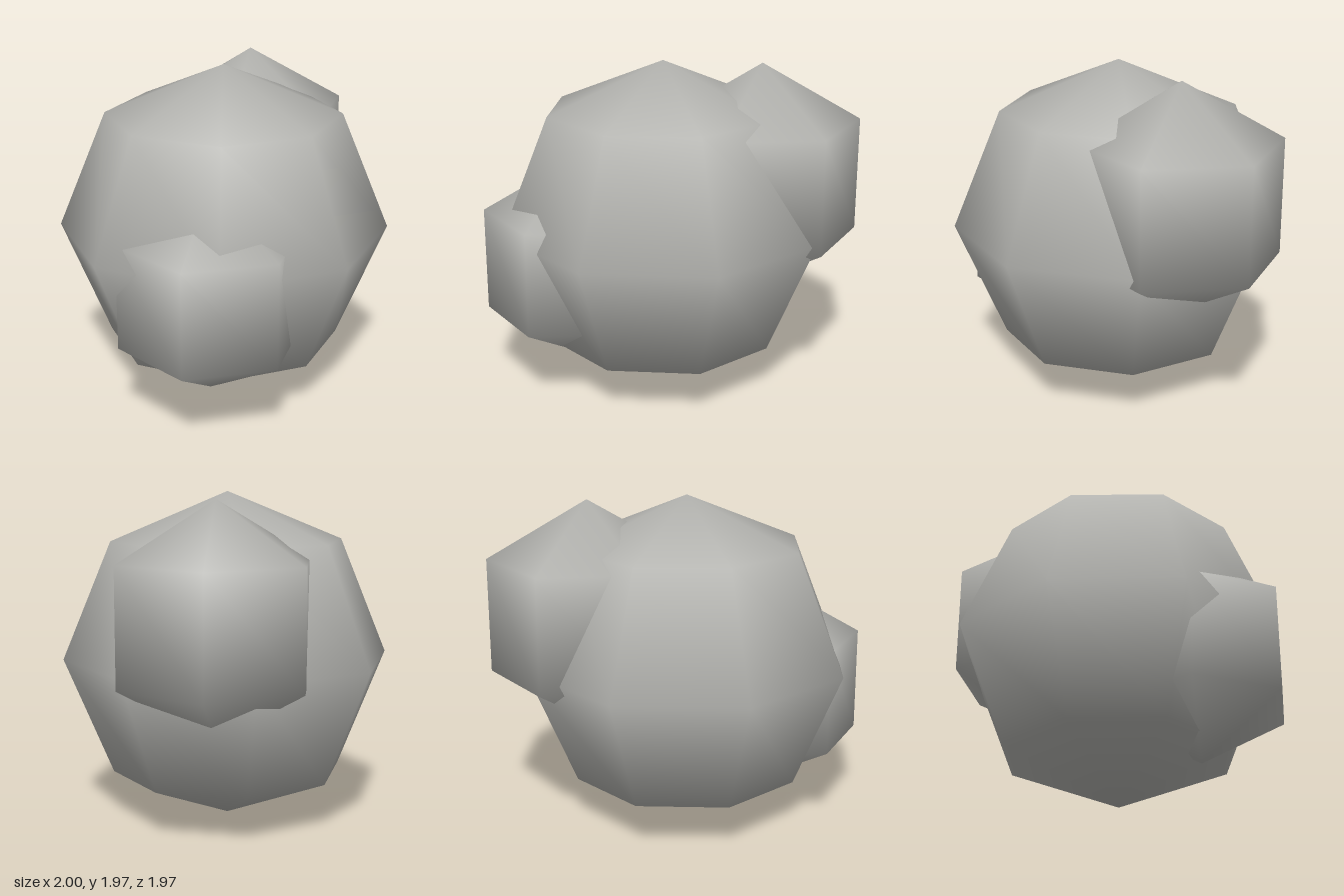
import * as THREE from 'three';

// A cluster of three smooth-shaded, low-poly boulders.
export function createModel() {
  const group = new THREE.Group();
  const stone = new THREE.MeshStandardMaterial({ color: 0xb4b4b0 });
  stone.name = 'stone grey';

  function addLump(name, radius, sides, rings, [x, y, z], turn = 0) {
    const lump = new THREE.Mesh(new THREE.SphereGeometry(radius, sides, rings), stone);
    lump.name = name;
    lump.position.set(x, y, z);
    lump.rotation.y = turn;
    group.add(lump);
  }

  // Large core, then two six-sided lumps with a corner turned towards z
  addLump('mainBoulder', 0.985, 8, 4, [-0.015, 0.985, 0]);
  addLump('upperBackLump', 0.68, 6, 3, [0.49, 1.27, -0.285], Math.PI / 2);
  addLump('lowerFrontLump', 0.62, 6, 3, [-0.435, 0.79, 0.33], Math.PI / 2);

  return group;
}
